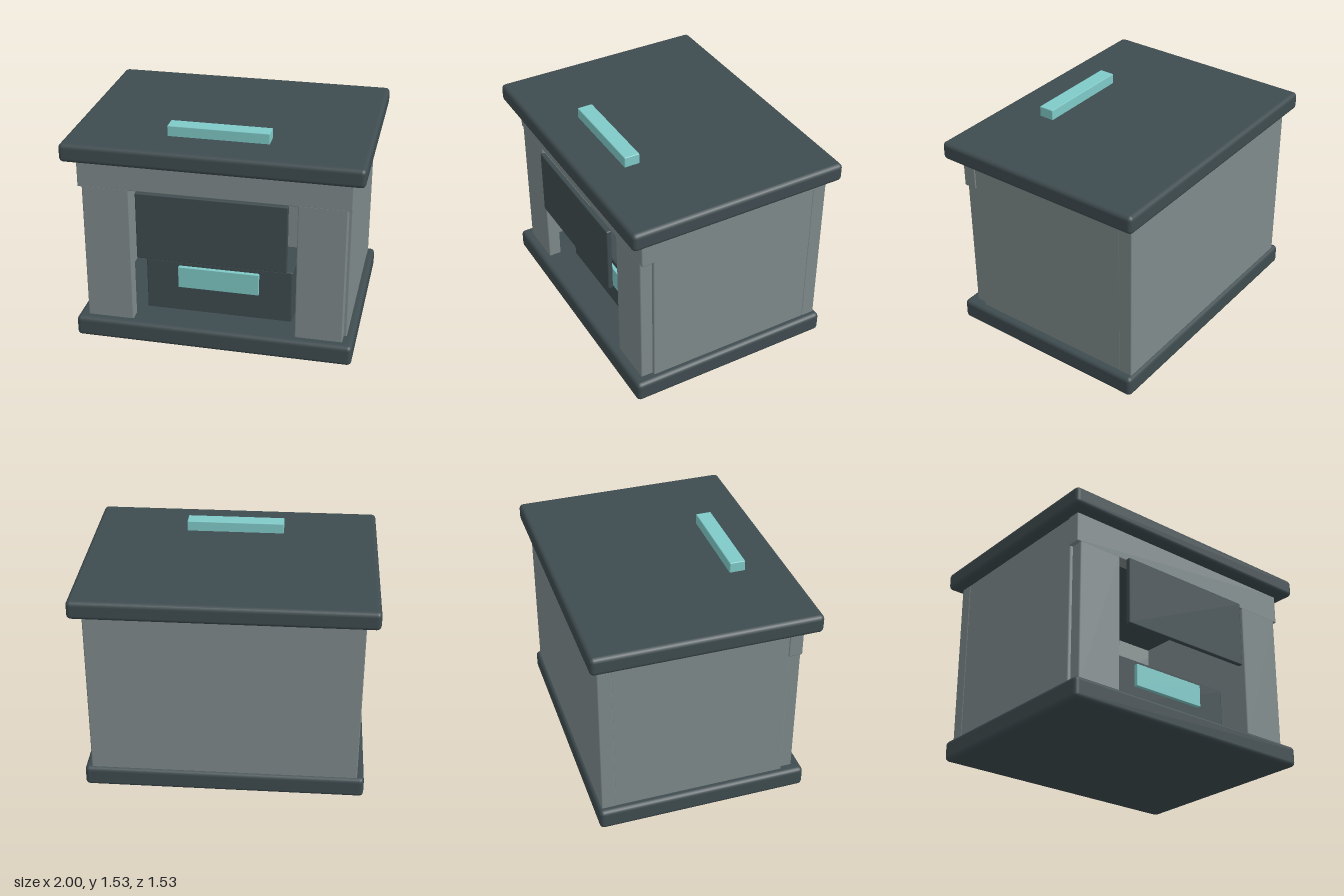
import * as THREE from 'three';
import { RoundedBoxGeometry } from 'three/addons/geometries/RoundedBoxGeometry.js';

export function createModel() {
  const model = new THREE.Group();
  model.name = 'fireplaceStove';

  const material = (name, color) => {
    const m = new THREE.MeshStandardMaterial({ color });
    m.name = name;
    return m;
  };
  const stone = material('grey stone', 0x7f8a8b);
  const slate = material('dark slate', 0x3f4c50);
  const teal = material('pale teal', 0x7fcac8);

  // Softly bevelled block given by its extents along each axis
  const block = (name, mat, [x0, x1], [y0, y1], [z0, z1], bevel = 0.008, segments = 1) => {
    const geometry = new RoundedBoxGeometry(x1 - x0, y1 - y0, z1 - z0, segments, bevel);
    const mesh = new THREE.Mesh(geometry, mat);
    mesh.name = name;
    mesh.position.set((x0 + x1) / 2, (y0 + y1) / 2, (z0 + z1) / 2);
    model.add(mesh);
  };

  // Base and top slabs
  block('base', slate, [-0.96, 0.96], [0, 0.145], [-0.732, 0.732], 0.03, 2);
  block('topSlab', slate, [-1, 1], [1.328, 1.455], [-0.767, 0.767], 0.03, 2);
  block('topHandle', teal, [-0.342, 0.342], [1.445, 1.527], [0.368, 0.477], 0.006);

  // Walls and front surround
  block('backWall', stone, [-0.912, 0.912], [0.13, 1.345], [-0.708, -0.608]);
  block('lintel', stone, [-0.917, 0.917], [1.12, 1.345], [0.572, 0.668]);
  for (const [side, s] of [['left', 1], ['right', -1]]) {
    const span = (a, b) => (s > 0 ? [a, b] : [-b, -a]);
    block(side + 'Wall', stone, span(0.79, 0.91), [0.13, 1.345], [-0.615, 0.583]);
    block(side + 'FrontPost', stone, span(0.565, 0.888), [0.13, 1.13], [0.576, 0.668]);
  }

  // Hanging front panel
  block('frontPanel', slate, [-0.512, 0.508], [0.647, 1.127], [0.668, 0.704]);

  // Inner drawer with its plate
  block('drawer', slate, [-0.514, 0.514], [0.13, 0.53], [0.126, 0.48], 0.012);
  block('drawerPlate', teal, [-0.283, 0.283], [0.338, 0.496], [0.474, 0.506], 0.004);

  return model;
}
